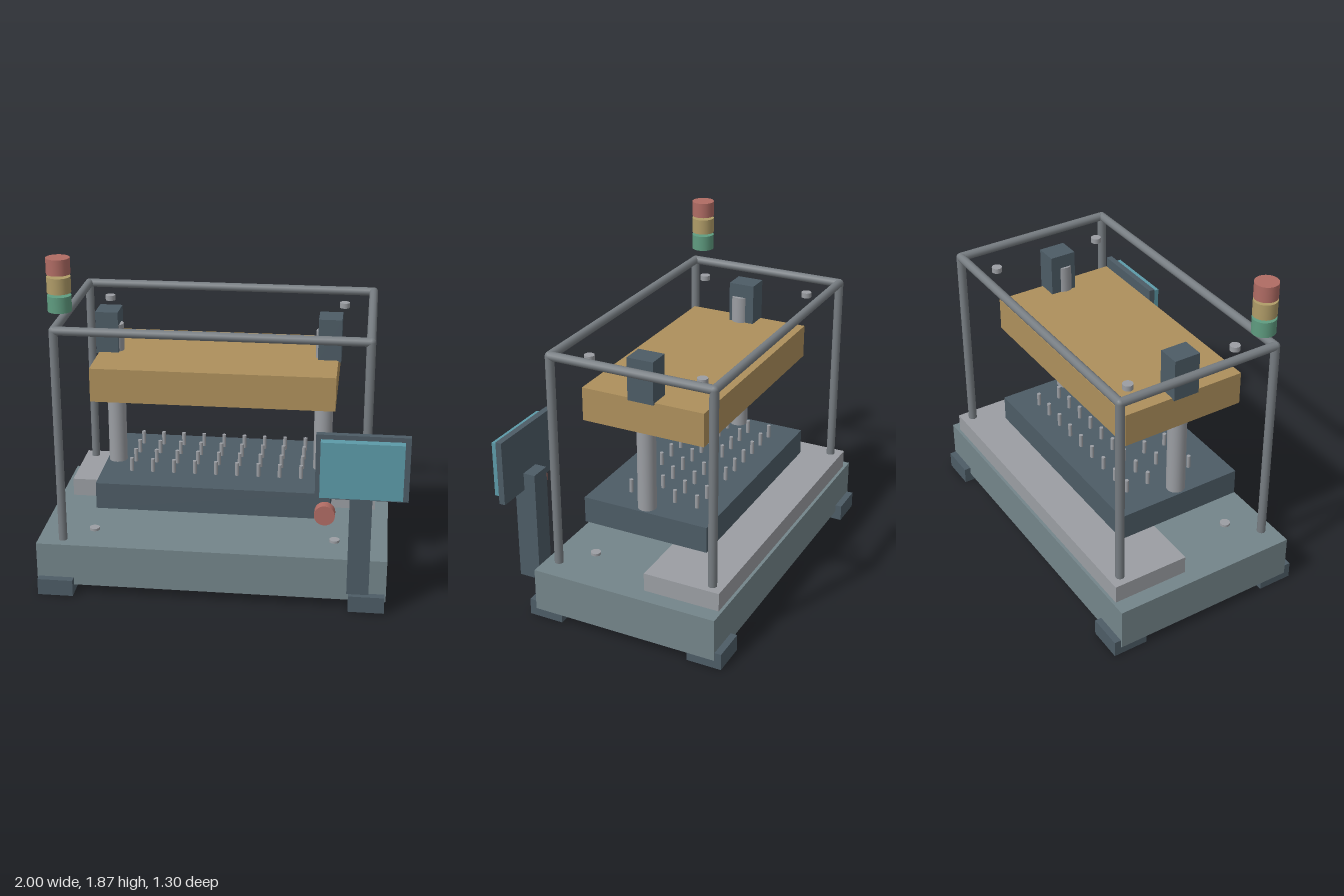
import * as THREE from 'three';

const mat = (color) => new THREE.MeshStandardMaterial({ color });

export function createModel() {
  const model = new THREE.Group();
  const steel = mat(0x74858a), dark = mat(0x4d5c66), silver = mat(0x9b9ea3), tube = mat(0x777d82);
  const tan = mat(0xae905c), teal = mat(0x5c9aa8), red = mat(0xb06c64), yellow = mat(0xb09c68), green = mat(0x5f9c80);

  const add = (name, geometry, material, x, y, z) => {
    const mesh = new THREE.Mesh(geometry, material);
    mesh.name = name;
    mesh.position.set(x, y, z);
    model.add(mesh);
    return mesh;
  };
  // Box from its limits on each axis
  const box = (name, material, [x0, x1], [y0, y1], [z0, z1]) =>
    add(name, new THREE.BoxGeometry(x1 - x0, y1 - y0, z1 - z0), material,
      (x0 + x1) / 2, (y0 + y1) / 2, (z0 + z1) / 2);
  // Upright cylinder between two heights
  const post = (name, material, r, x, z, [y0, y1], sides = 16) =>
    add(name, new THREE.CylinderGeometry(r, r, y1 - y0, sides), material, x, (y0 + y1) / 2, z);

  // Base, feet and rear plate
  box('base', steel, [-1, 0.91], [0.05, 0.29], [-0.611, 0.449]);
  for (const x of [[-0.992, -0.797], [0.708, 0.903]])
    for (const z of [[-0.648, -0.452], [0.295, 0.491]]) box('foot', dark, x, [0, 0.093], z);
  box('rearPlate', silver, [-0.925, 0.835], [0.3, 0.403], [-0.6, -0.172]);

  // Lower platen with its grid of pins
  box('lowerPlaten', dark, [-0.683, 0.592], [0.46, 0.608], [-0.412, 0.316]);
  for (let i = 0; i < 9; i++)
    for (let j = 0; j < 4; j++)
      post('pin', silver, 0.011, -0.517 + i * 0.1175, 0.122 - j * 0.132, [0.6, 0.683], 10);

  // Upper platen, guide columns and top blocks
  box('upperPlaten', tan, [-0.7, 0.605], [1.077, 1.263], [-0.4, 0.3]);
  for (const x of [-0.622, 0.532]) post('guideColumn', silver, 0.051, x, -0.034, [0.6, 1.413], 20);
  for (const x of [[-0.716, -0.592], [0.495, 0.62]])
    box('topBlock', dark, x, [1.255, 1.49], [-0.124, 0.024]);

  // Tubular guard frame
  const X = [-0.864, 0.778], Z = [-0.537, 0.376], top = 1.491, r = 0.024;
  for (const x of X)
    for (const z of Z) {
      post('framePost', tube, r, x, z, [0.285, top], 12);
      add('frameJoint', new THREE.SphereGeometry(r, 12, 8), tube, x, top, z);
    }
  for (const z of Z)
    add('frameRailLong', new THREE.CylinderGeometry(r, r, X[1] - X[0], 12), tube,
      (X[0] + X[1]) / 2, top, z).rotation.z = Math.PI / 2;
  for (const x of X)
    add('frameRailShort', new THREE.CylinderGeometry(r, r, Z[1] - Z[0], 12), tube,
      x, top, (Z[0] + Z[1]) / 2).rotation.x = Math.PI / 2;

  // Small discs below the rails and on the base
  for (const x of [-0.715, 0.62])
    for (const z of [-0.398, 0.24]) {
      post('upperDisc', silver, 0.028, x, z, [1.434, 1.463]);
      post('lowerDisc', silver, 0.028, x, z, [0.275, 0.304]);
    }

  // Operator panel on its stand
  box('panelStand', dark, [0.7, 0.816], [0.17, 0.804], [0.48, 0.603]);
  box('panelHousing', dark, [0.52, 1], [0.705, 1.06], [0.547, 0.581]);
  box('screen', teal, [0.545, 0.97], [0.73, 1.035], [0.575, 0.626]);
  add('stopButton', new THREE.CylinderGeometry(0.054, 0.054, 0.056, 24), red,
    0.575, 0.639, 0.62).rotation.x = Math.PI / 2;

  // Signal lights
  [[green, 1.583], [yellow, 1.683], [red, 1.782]].forEach(([m, y]) =>
    post('signalLight', m, 0.063, -0.837, 0.315, [y, y + 0.085], 24));

  return model;
}
